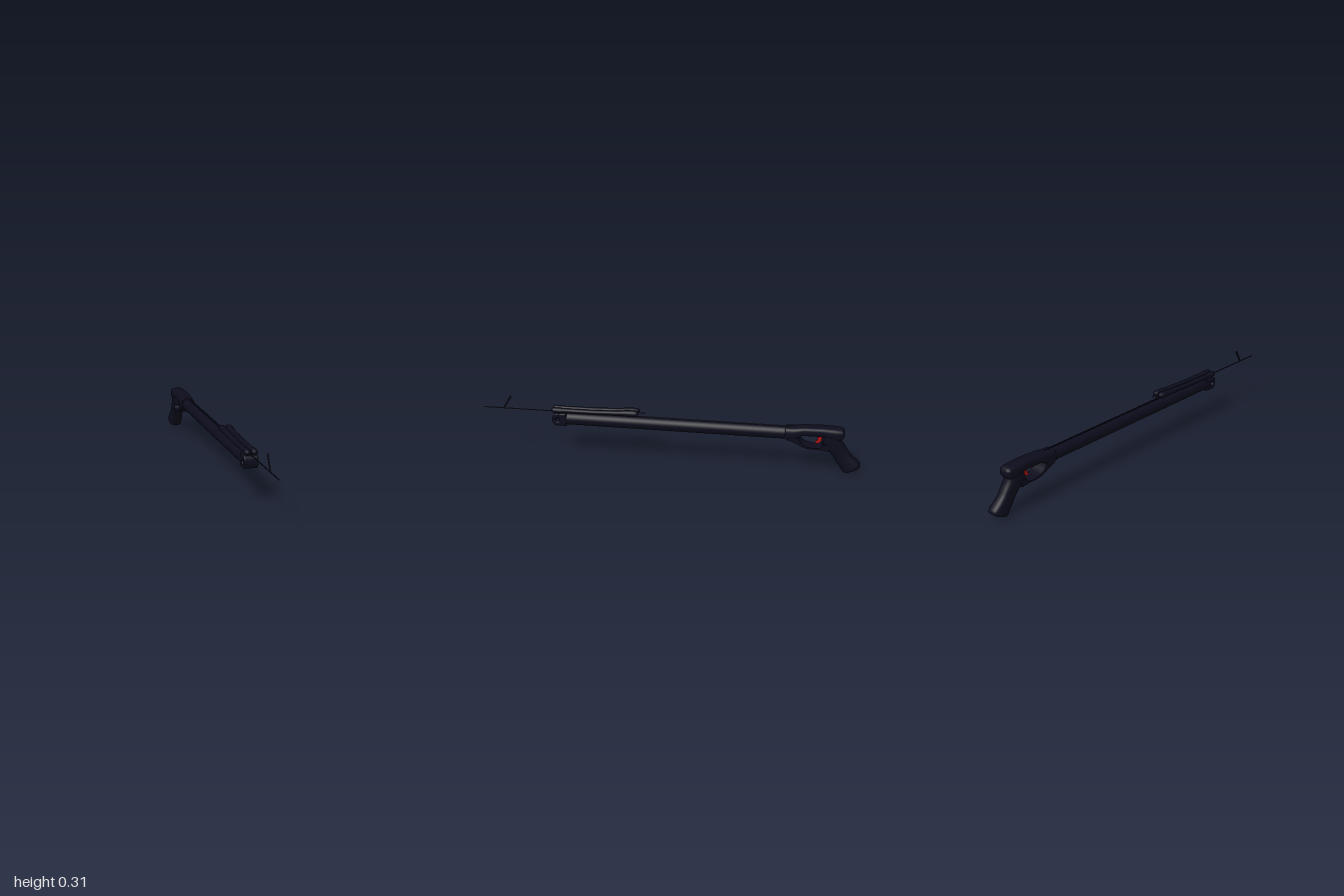
import * as THREE from 'three';

const dark = new THREE.MeshStandardMaterial({ color: 0x0c0c1c, side: THREE.DoubleSide });
const red = new THREE.MeshStandardMaterial({ color: 0xb81414 });

function mesh(name, geometry, material = dark) {
  const m = new THREE.Mesh(geometry, material);
  m.name = name;
  return m;
}

// Closed skin through rounded sections: [zTop, yTop, zBottom, yBottom, halfWidth]
function loft(sections, power = 1, x0 = 0, n = 32) {
  const pos = [], idx = [];
  const round = (v) => Math.sign(v) * Math.pow(Math.abs(v), power);
  for (const [zt, yt, zb, yb, w] of sections) {
    for (let j = 0; j < n; j++) {
      const a = (j / n) * Math.PI * 2, s = round(Math.sin(a)) / 2;
      pos.push(x0 + w * round(Math.cos(a)), (yt + yb) / 2 + (yt - yb) * s, (zt + zb) / 2 + (zt - zb) * s);
    }
  }
  for (let i = 0; i < sections.length - 1; i++) {
    for (let j = 0; j < n; j++) {
      const a = i * n + j, b = i * n + (j + 1) % n;
      idx.push(a, a + n, b, b, a + n, b + n);
    }
  }
  const last = (sections.length - 1) * n;
  for (let j = 1; j < n - 1; j++) {
    idx.push(0, j, j + 1, last, last + j + 1, last + j);
  }
  const g = new THREE.BufferGeometry();
  g.setAttribute('position', new THREE.Float32BufferAttribute(pos, 3));
  g.setIndex(idx);
  g.computeVertexNormals();
  return g;
}

// Side profile drawn in (z, y), extruded across the width
function sideExtrude(shape, width, bevel = 0) {
  const depth = width - 2 * bevel;
  const g = new THREE.ExtrudeGeometry(shape, {
    depth, curveSegments: 20, bevelEnabled: bevel > 0, bevelSize: bevel,
    bevelThickness: bevel, bevelOffset: -bevel, bevelSegments: 4,
  });
  g.translate(0, 0, -depth / 2);
  g.rotateY(-Math.PI / 2);
  return g;
}

function rod(z0, z1, r, y, sides = 10) {
  const g = new THREE.CylinderGeometry(r, r, Math.abs(z1 - z0), sides);
  g.rotateX(Math.PI / 2);
  g.translate(0, y, (z0 + z1) / 2);
  return g;
}

export function createModel() {
  const group = new THREE.Group();

  // Barrel, and the pierced muzzle with its rounded nose
  group.add(mesh('barrel', rod(0.55, -0.66, 0.034, 0.203, 40)));
  const nose = new THREE.Shape();
  nose.moveTo(0.54, 0.169);
  nose.lineTo(0.592, 0.169);
  nose.quadraticCurveTo(0.617, 0.172, 0.617, 0.203);
  nose.quadraticCurveTo(0.617, 0.235, 0.592, 0.237);
  nose.lineTo(0.54, 0.237);
  nose.closePath();
  const hole = new THREE.Path();
  hole.absarc(0.587, 0.202, 0.011, 0, Math.PI * 2, true);
  nose.holes.push(hole);
  group.add(mesh('muzzle', sideExtrude(nose, 0.07, 0.006)));

  // Shaft with its hinged barb
  group.add(mesh('shaft', rod(1, -0.66, 0.0028, 0.238)));
  const barb = new THREE.Shape([[0.893, 0.236], [0.885, 0.236], [0.845, 0.3], [0.846, 0.312], [0.852, 0.309]]
    .map(([z, y]) => new THREE.Vector2(z, y)));
  group.add(mesh('barb', sideExtrude(barb, 0.005)));

  // Pair of rubber bands with thick ends: [z, centre y, radius]
  const bandProfile = [
    [0.621, 0.251, 0.005], [0.617, 0.251, 0.011], [0.607, 0.251, 0.0145], [0.575, 0.251, 0.0145],
    [0.56, 0.251, 0.012], [0.4, 0.252, 0.012], [0.26, 0.257, 0.0125], [0.225, 0.259, 0.0155],
    [0.175, 0.26, 0.0165], [0.16, 0.26, 0.013], [0.155, 0.26, 0.006],
  ];
  for (const side of [-1, 1]) {
    const sections = bandProfile.map(([z, y, r]) => [z, y + r, z, y - r, r * 1.12]);
    group.add(mesh(side > 0 ? 'leftBand' : 'rightBand', loft(sections, 1, side * 0.0175, 20)));
  }

  // Thin wishbone line joining the bands
  const wishbone = new THREE.CatmullRomCurve3([
    [-0.0175, 0.165], [-0.012, 0.142], [0, 0.122], [0.012, 0.142], [0.0175, 0.165],
  ].map(([x, z]) => new THREE.Vector3(x, 0.258, z)));
  group.add(mesh('wishbone', new THREE.TubeGeometry(wishbone, 24, 0.0013, 6)));

  // Receiver housing
  group.add(mesh('receiver', loft([
    [-0.608, 0.234, -0.608, 0.174, 0.033], [-0.612, 0.237, -0.612, 0.17, 0.038],
    [-0.65, 0.239, -0.65, 0.17, 0.039], [-0.675, 0.242, -0.675, 0.184, 0.039],
    [-0.7, 0.245, -0.7, 0.197, 0.039], [-0.8, 0.249, -0.8, 0.197, 0.039],
    [-0.86, 0.247, -0.86, 0.182, 0.039], [-0.89, 0.245, -0.89, 0.184, 0.038],
    [-0.902, 0.24, -0.902, 0.192, 0.034], [-0.909, 0.23, -0.909, 0.205, 0.024],
  ], 0.65)));

  // Pistol grip, sections running down from the receiver (back point, front point)
  group.add(mesh('grip', loft([
    [-0.893, 0.22, -0.795, 0.212, 0.036], [-0.893, 0.195, -0.797, 0.185, 0.037],
    [-0.9, 0.172, -0.802, 0.15, 0.037], [-0.915, 0.15, -0.826, 0.126, 0.036],
    [-0.93, 0.125, -0.845, 0.105, 0.034], [-0.943, 0.107, -0.862, 0.08, 0.033],
    [-0.968, 0.083, -0.88, 0.053, 0.035], [-0.992, 0.062, -0.9, 0.026, 0.037],
    [-0.999, 0.05, -0.91, 0.011, 0.038], [-0.998, 0.039, -0.917, 0.004, 0.036],
    [-0.99, 0.031, -0.924, 0.002, 0.029],
  ], 0.75)));

  // Wide trigger guard strap
  const guard = new THREE.Shape();
  guard.moveTo(-0.62, 0.174);
  guard.bezierCurveTo(-0.67, 0.165, -0.69, 0.131, -0.75, 0.131);
  guard.quadraticCurveTo(-0.8, 0.131, -0.835, 0.125);
  guard.lineTo(-0.835, 0.16);
  guard.lineTo(-0.803, 0.16);
  guard.quadraticCurveTo(-0.802, 0.139, -0.775, 0.138);
  guard.bezierCurveTo(-0.71, 0.138, -0.69, 0.155, -0.676, 0.187);
  guard.lineTo(-0.64, 0.19);
  guard.closePath();
  group.add(mesh('triggerGuard', sideExtrude(guard, 0.074)));

  // Curved trigger
  const trigger = new THREE.Shape();
  trigger.moveTo(-0.765, 0.205);
  trigger.quadraticCurveTo(-0.786, 0.178, -0.762, 0.155);
  trigger.quadraticCurveTo(-0.78, 0.15, -0.793, 0.168);
  trigger.lineTo(-0.8, 0.205);
  trigger.closePath();
  group.add(mesh('trigger', sideExtrude(trigger, 0.02, 0.002), red));

  return group;
}
